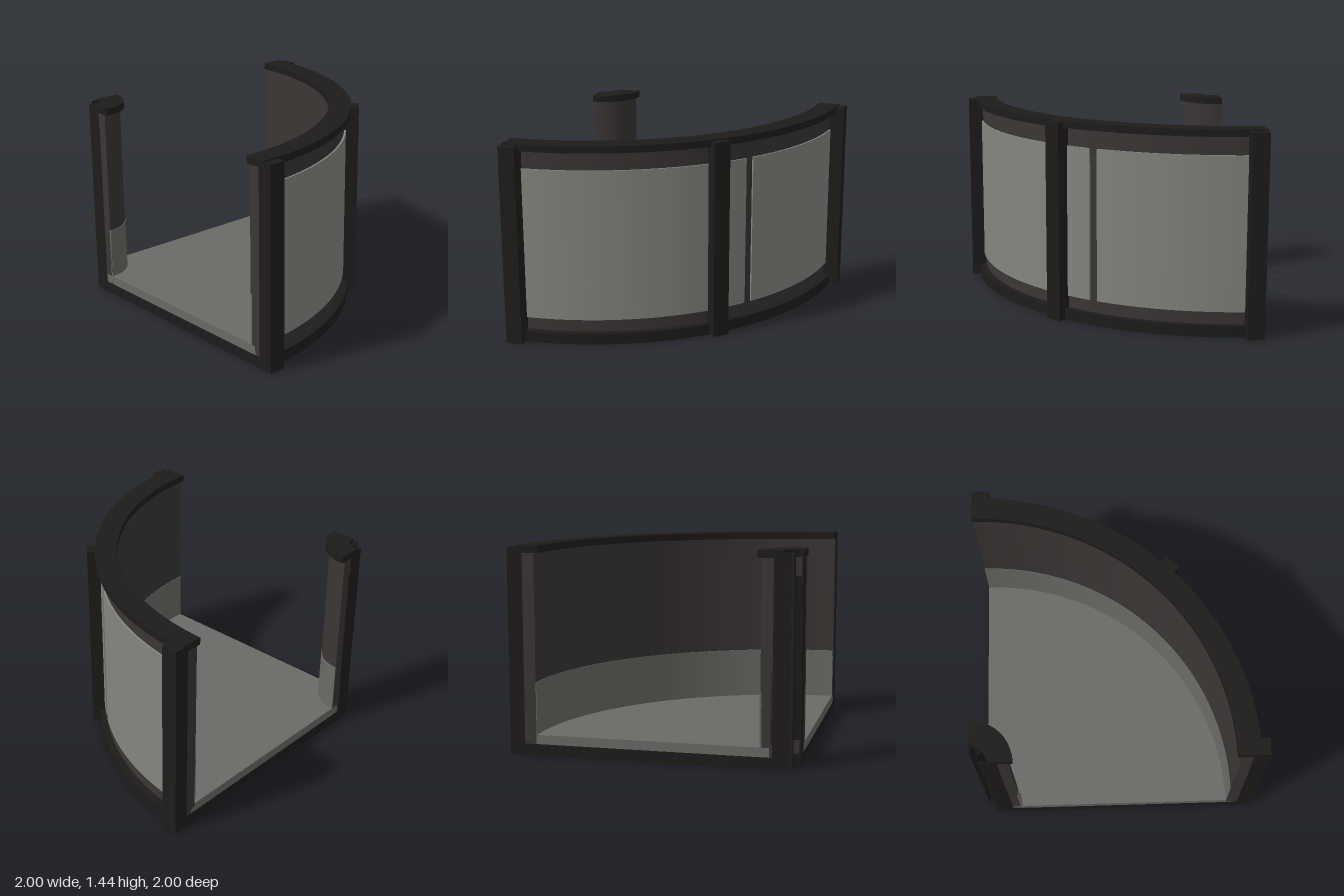
import * as THREE from 'three';

const material = (color) => new THREE.MeshStandardMaterial({ color });
const DEG = Math.PI / 180;

export function createModel() {
  const frame = material(0x1e1c1b);
  const wall = material(0x3a3634);
  const light = material(0x85857f);
  const floorGrey = material(0x6a6a65);

  const model = new THREE.Group();
  model.name = 'curvedCorridor';

  // Everything is laid out around the bend's axis: 0 deg is +x, 90 deg is -z
  const bend = new THREE.Group();
  bend.name = 'quarterBend';
  bend.position.set(-1, 0, 1);
  model.add(bend);

  // Slab shaped as a sector of a ring
  function sector(name, mat, r0, r1, y0, y1, a0 = 0, a1 = 90) {
    const shape = new THREE.Shape();
    shape.absarc(0, 0, r1, a0 * DEG, a1 * DEG, false);
    shape.absarc(0, 0, r0, a1 * DEG, a0 * DEG, true);
    const geometry = new THREE.ExtrudeGeometry(shape, {
      depth: y1 - y0,
      bevelEnabled: false,
      curveSegments: Math.max(4, Math.ceil((a1 - a0) / 3)),
    });
    geometry.rotateX(-Math.PI / 2).translate(0, y0, 0);
    const mesh = new THREE.Mesh(geometry, mat);
    mesh.name = name;
    bend.add(mesh);
  }

  // Upright post at an angle; shift slides it sideways to stay inside the bend
  function post(name, angle, r0, r1, width, shift) {
    const geometry = new THREE.BoxGeometry(r1 - r0, 1.43, width);
    geometry.translate((r0 + r1) / 2, 0.715, (shift * width) / 2);
    const mesh = new THREE.Mesh(geometry, frame);
    mesh.name = name;
    mesh.rotation.y = angle * DEG;
    bend.add(mesh);
  }

  // Base and raised floor
  sector('base', frame, 0.12, 1.94, 0, 0.08);
  sector('floor', floorGrey, 0.2, 1.85, 0.08, 0.145);

  // Outer wall with its inside skirting and outside panels
  sector('outerWall', wall, 1.81, 1.893, 0.08, 1.39);
  sector('outerSkirting', floorGrey, 1.806, 1.82, 0.145, 0.51);
  sector('outerPanelLong', light, 1.88, 1.906, 0.17, 1.26, 0.5, 52.6);
  sector('outerPanelShort', light, 1.88, 1.906, 0.17, 1.26, 54.4, 89.5);
  sector('outerCap', frame, 1.78, 1.94, 1.39, 1.44);

  // Inner wall wrapped around the axis
  sector('innerWall', wall, 0.18, 0.26, 0.08, 1.39);
  sector('innerSkirting', floorGrey, 0.25, 0.264, 0.145, 0.51);
  sector('innerPanel', frame, 0.17, 0.19, 0.17, 1.26);
  sector('innerCap', frame, 0.12, 0.29, 1.39, 1.44);

  // Posts at both ends and the middle: broad outside, thin fins inside
  for (const [angle, shift] of [[0, -1], [45, 0], [90, 1]]) {
    post('outerPost', angle, 1.89, angle === 45 ? 1.995 : 2, 0.12, shift);
    post('innerFin', angle, 0.07, 0.185, 0.008, shift);
  }

  return model;
}
